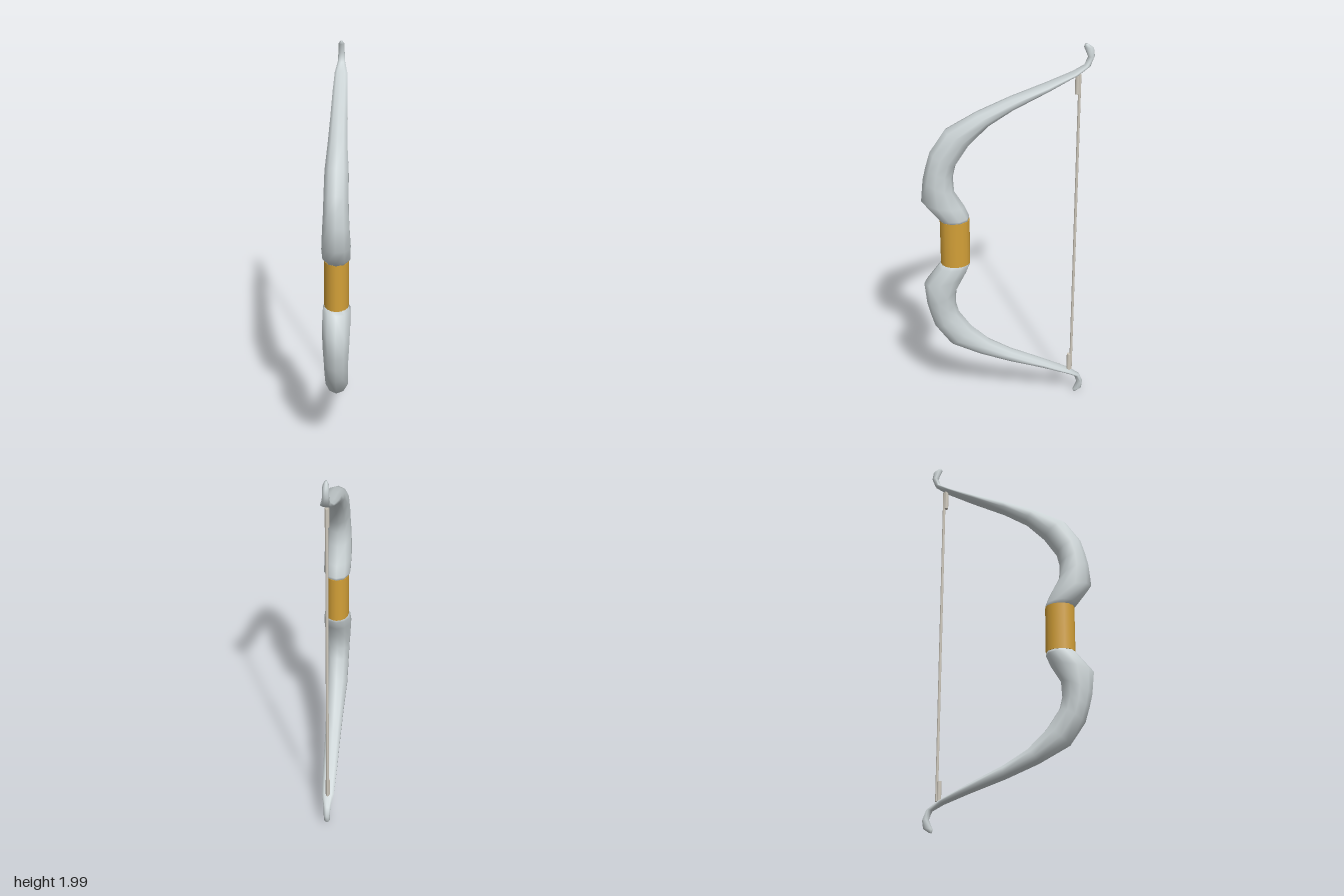
import * as THREE from 'three';

const MID = 1.004; // height of the plane both limbs mirror about
const SIDES = 10;

// limb sections: front edge z, y; back edge z, y; half width
const SECTIONS = [
  [0.325, 1.12, 0.185, 1.12, 0.055],
  [0.345, 1.145, 0.184, 1.14, 0.069],
  [0.416, 1.237, 0.206, 1.195, 0.071],
  [0.405, 1.354, 0.255, 1.28, 0.066],
  [0.39, 1.42, 0.26, 1.36, 0.062],
  [0.368, 1.497, 0.246, 1.42, 0.06],
  [0.294, 1.608, 0.183, 1.518, 0.058],
  [0.146, 1.687, 0.087, 1.618, 0.048],
  [-0.019, 1.756, -0.025, 1.69, 0.042],
  [-0.188, 1.815, -0.195, 1.775, 0.038],
  [-0.31, 1.862, -0.336, 1.85, 0.032],
  [-0.363, 1.894, -0.392, 1.889, 0.019],
  [-0.379, 1.936, -0.411, 1.938, 0.016],
  [-0.358, 1.985, -0.405, 1.978, 0.015],
  [-0.363, 2.0, -0.378, 1.998, 0.005],
];

// lofts elliptical rings along the limb; dir = 1 for upper, -1 for lower
function limbGeometry(dir) {
  const pos = [], index = [];
  const put = (x, y, z) => pos.push(x, MID + dir * (y - MID), z);
  const tri = (a, b, c) => (dir > 0 ? index.push(a, b, c) : index.push(a, c, b));
  for (const [fz, fy, bz, by, w] of SECTIONS) {
    for (let j = 0; j < SIDES; j++) {
      const a = (j / SIDES) * Math.PI * 2;
      const c = Math.cos(a) / 2;
      put(Math.sin(a) * w, (fy + by) / 2 + c * (fy - by), (fz + bz) / 2 + c * (fz - bz));
    }
  }
  const last = SECTIONS.length - 1;
  for (let i = 0; i < last; i++) {
    for (let j = 0; j < SIDES; j++) {
      const a = i * SIDES + j, b = i * SIDES + ((j + 1) % SIDES);
      tri(a, b, b + SIDES);
      tri(a, b + SIDES, a + SIDES);
    }
  }
  // end caps
  for (let j = 1; j < SIDES - 1; j++) {
    tri(0, j + 1, j);
    tri(last * SIDES, last * SIDES + j, last * SIDES + j + 1);
  }
  const g = new THREE.BufferGeometry();
  g.setAttribute('position', new THREE.Float32BufferAttribute(pos, 3));
  g.setIndex(index);
  g.computeVertexNormals();
  return g;
}

export function createModel() {
  const material = (name, color) => {
    const m = new THREE.MeshStandardMaterial({ color });
    m.name = name;
    return m;
  };
  const limbMat = material('paleGrey', 0xcbd3d5);
  const gripMat = material('gold', 0xd3a038);
  const stringMat = material('stringBeige', 0xd2ccc0);

  const bow = new THREE.Group();
  bow.name = 'bow';
  const add = (name, geometry, mat, y, z) => {
    const mesh = new THREE.Mesh(geometry, mat);
    mesh.name = name;
    mesh.position.set(0, y, z);
    bow.add(mesh);
    return mesh;
  };

  // oval handle
  const grip = add('grip', new THREE.CylinderGeometry(1, 1, 0.245, 16), gripMat, MID, 0.256);
  grip.scale.set(0.06, 1, 0.073);

  // bowstring
  add('bowstring', new THREE.CylinderGeometry(0.007, 0.007, 1.69, 8), stringMat, MID, -0.344);

  // recurved limbs and the string servings near their tips
  for (const [side, dir] of [['upper', 1], ['lower', -1]]) {
    add(side + 'Limb', limbGeometry(dir), limbMat, 0, 0);
    add(side + 'Serving', new THREE.CylinderGeometry(0.011, 0.011, 0.1, 8), stringMat, MID + dir * 0.797, -0.333);
  }
  return bow;
}
